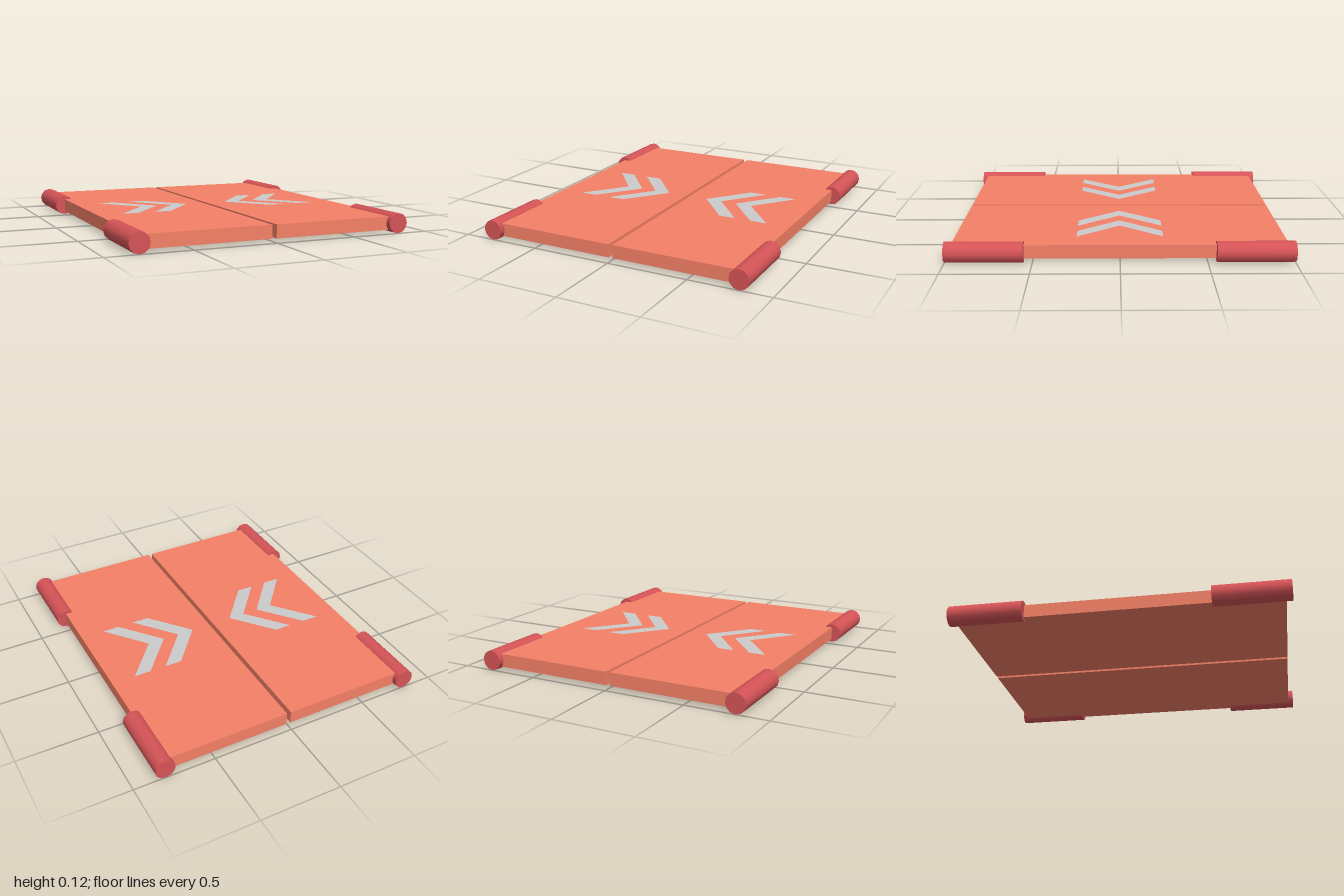
import * as THREE from 'three';

const panelMat = new THREE.MeshStandardMaterial({ color: 0xf58067 });
const hingeMat = new THREE.MeshStandardMaterial({ color: 0xd65457 });
const arrowMat = new THREE.MeshStandardMaterial({ color: 0xcccccc });

function add(parent, name, geometry, material, x, y, z) {
  const mesh = new THREE.Mesh(geometry, material);
  mesh.name = name;
  mesh.position.set(x, y, z);
  parent.add(mesh);
  return mesh;
}

// Flat chevron lying on the panel, tip pointing towards -side in x
function chevronGeometry(side) {
  const h = 0.253;
  const points = [[0, 0], [0.208, h], [0.313, h], [0.105, 0], [0.313, -h], [0.208, -h]];
  const shape = new THREE.Shape(points.map(([x, y]) => new THREE.Vector2(side * x, y)));
  return new THREE.ShapeGeometry(shape).rotateX(-Math.PI / 2);
}

export function createModel() {
  const model = new THREE.Group();
  model.name = 'doublePanelDoor';

  const inner = 0.013, outer = 0.805;
  const panelGeo = new THREE.BoxGeometry(outer - inner, 0.08, 1.93);
  const hingeGeo = new THREE.CylinderGeometry(0.061, 0.061, 0.45, 12).rotateX(Math.PI / 2);

  for (const side of [1, -1]) {
    const half = new THREE.Group();
    half.name = side > 0 ? 'leftHalf' : 'rightHalf';
    model.add(half);

    // Door panel
    add(half, 'panel', panelGeo, panelMat, side * (inner + outer) / 2, 0.06, 0);

    // Hinge barrels at the outer corners
    for (const end of [1, -1]) {
      add(half, end > 0 ? 'frontHinge' : 'backHinge', hingeGeo, hingeMat, side * outer, 0.061, end * 0.775);
    }

    // Two chevrons pointing to the centre gap
    for (const tip of [0.137, 0.344]) {
      add(half, 'chevron', chevronGeometry(side), arrowMat, side * tip, 0.102, 0);
    }
  }
  return model;
}
